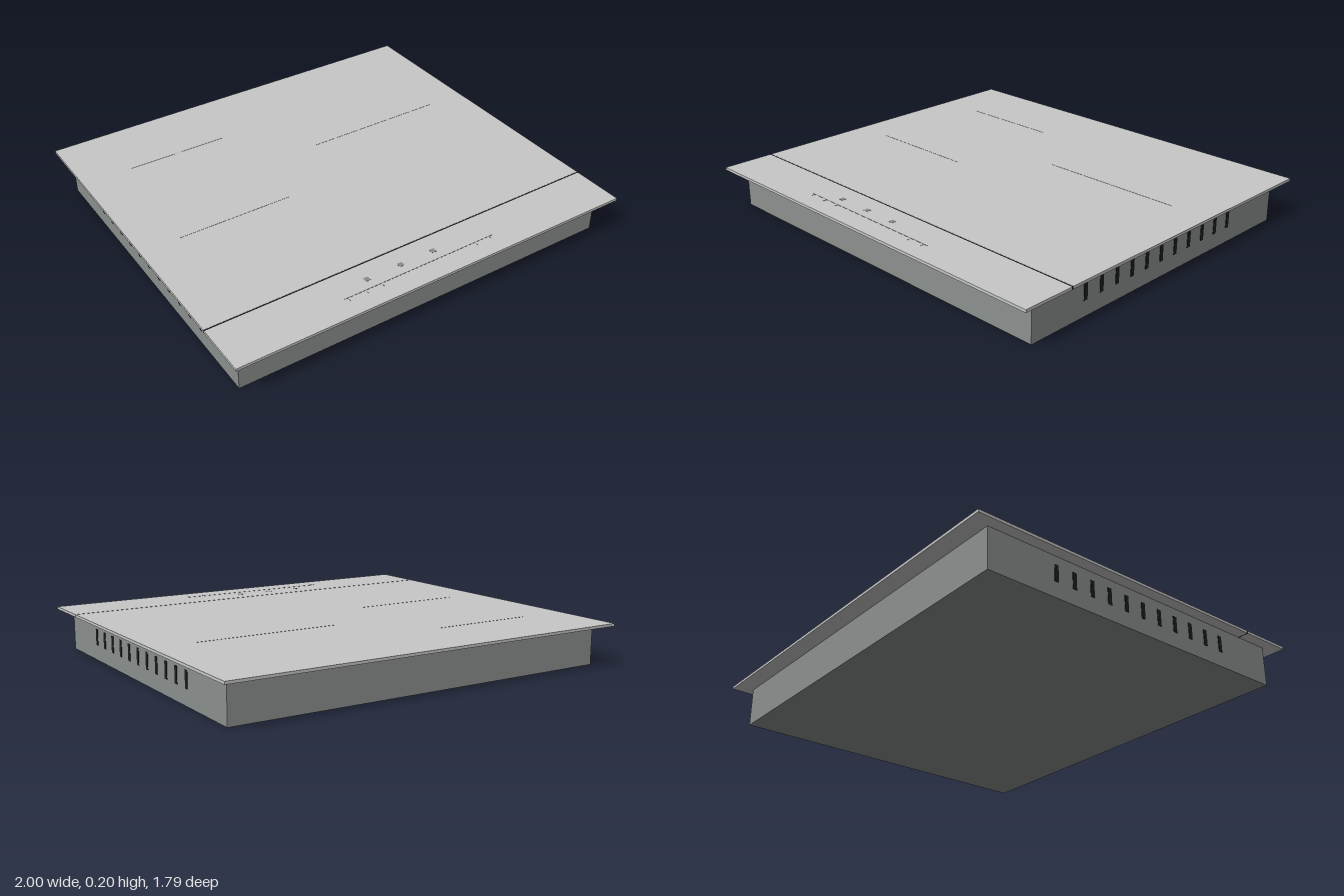
import * as THREE from 'three';

export function createModel() {
  const model = new THREE.Group();
  const material = (name, color) => {
    const m = new THREE.MeshStandardMaterial({ color });
    m.name = name;
    return m;
  };
  const glass = material('silver glass', 0xc8c8c8);
  const steel = material('steel housing', 0x8c918e);
  const black = material('black', 0x1c201e);
  const print = material('grey print', 0x8c8c8c);

  // Box given by its limits on each axis
  const box = (name, mat, [x0, x1], [y0, y1], [z0, z1], parent = model) => {
    const mesh = new THREE.Mesh(new THREE.BoxGeometry(x1 - x0, y1 - y0, z1 - z0), mat);
    mesh.position.set((x0 + x1) / 2, (y0 + y1) / 2, (z0 + z1) / 2);
    mesh.name = name;
    parent.add(mesh);
    return mesh;
  };
  const group = (name) => {
    const g = new THREE.Group();
    g.name = name;
    model.add(g);
    return g;
  };

  // Housing below the worktop
  const top = 0.203, under = 0.19;
  box('housing', steel, [-0.948, 0.948], [0, under], [-0.81, 0.81]);

  // Glass top in two panes with a dark seam between them
  box('cookingPane', glass, [-1, 1], [under, top], [-0.895, 0.637]);
  box('controlPane', glass, [-1, 1], [under, top], [0.644, 0.895]);
  box('seam', black, [-1, 1], [under, top - 0.001], [0.637, 0.644]);

  // Row of ventilation slots on both sides
  const vents = group('ventSlots');
  for (const side of [-1, 1]) {
    for (let i = 0; i < 11; i++) {
      const z = 0.502 - i * 0.0967;
      const x = side * 0.948;
      box('ventSlot', black, [x - 0.002, x + 0.002], [0.073, 0.15], [z - 0.0105, z + 0.0105], vents);
    }
  }

  // Printed marks lie just above the glass
  const printY = [top - 0.001, top + 0.0008];

  // Touch keys and power slider
  const controls = group('controls');
  for (const x of [-0.288, -0.113, 0.058]) {
    box('touchKey', print, [x - 0.012, x + 0.012], printY, [0.724, 0.748], controls);
  }
  box('slider', print, [-0.435, 0.345], printY, [0.788, 0.792], controls);
  for (const x of [-0.42, -0.333, -0.252, 0.245, 0.325]) {
    box('sliderTick', print, [x - 0.002, x + 0.002], printY, [0.797, 0.81], controls);
  }

  // Hairlines across the three cooking zones
  const zones = group('zoneMarks');
  for (const [x0, x1, z] of [[-0.76, -0.26, -0.55], [-0.81, -0.25, 0.06], [0.09, 0.8, -0.24]]) {
    box('zoneMark', print, [x0, x1], printY, [z - 0.0007, z + 0.0007], zones);
  }

  return model;
}
